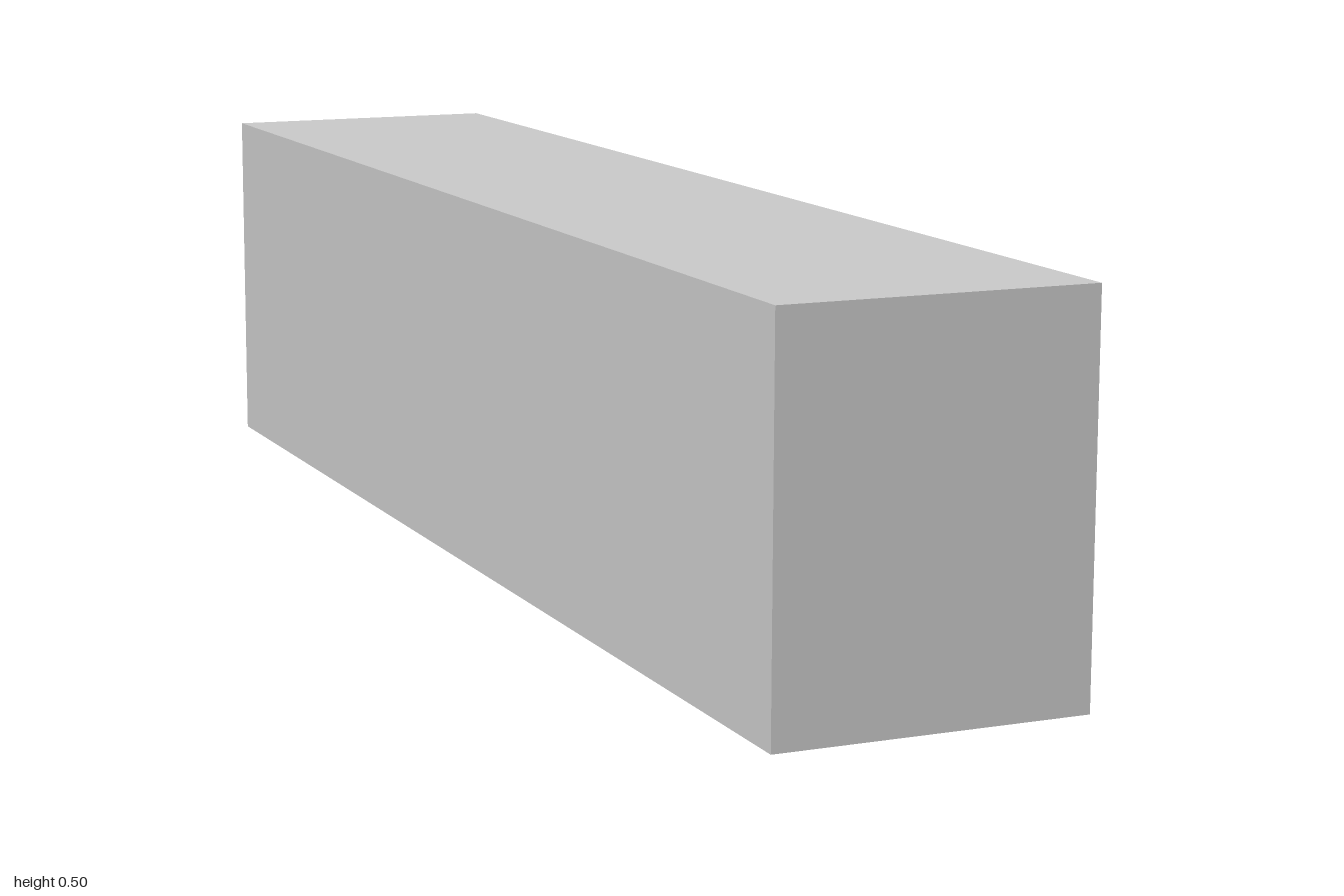
import * as THREE from 'three';

export function createModel() {
  const group = new THREE.Group();
  const mat = new THREE.MeshStandardMaterial({ color: 0xcccccc, flatShading: true });

  // Box given by its limits on each axis
  const box = (name, [x0, x1], [y0, y1], [z0, z1]) => {
    const mesh = new THREE.Mesh(new THREE.BoxGeometry(x1 - x0, y1 - y0, z1 - z0), mat);
    mesh.position.set((x0 + x1) / 2, (y0 + y1) / 2, (z0 + z1) / 2);
    mesh.name = name;
    group.add(mesh);
  };

  const back = -0.206, front = 0.203, recess = -0.078, groove = 0.02;
  const under = 0.481, panelTop = 0.47, panelBottom = 0.091, plinthTop = 0.078;
  const kneeL = -0.04, kneeR = -0.625;
  const face = [front - groove, front];
  const kneeFace = [recess - groove, recess];
  const coreX = [recess - groove, front - groove];
  const panelY = [panelBottom, panelTop];

  // Worktop and set-back carcasses, which form the bottoms of the grooves
  box('worktop', [back, front], [under, 0.505], [-1, 1]);
  box('backCarcass', [back, recess - groove], [0, under], [-1, 1]);
  box('leftCarcass', coreX, [0, under], [kneeL + groove, 1]);
  box('rightCarcass', coreX, [0, under], [-1, kneeR - groove]);

  // End stiles and plinths
  box('leftStile', face, [0, under], [0.97, 1]);
  box('rightStile', face, [0, under], [-1, -0.968]);
  box('leftPlinth', face, [0, plinthTop], [kneeL, 0.97]);
  box('rightPlinth', face, [0, plinthTop], [-0.968, kneeR]);
  box('leftKneePlinth', coreX, [0, panelBottom], [kneeL, kneeL + groove]);
  box('rightKneePlinth', coreX, [0, panelBottom], [kneeR - groove, kneeR]);

  // Two cupboard doors
  box('door', face, panelY, [0.596, 0.963]);
  box('door', face, panelY, [0.27, 0.589]);

  // Drawer stacks, open to the knee space along their sides
  const rows = [[panelBottom, 0.219], [0.23, 0.361], [0.372, panelTop]];
  for (const row of rows) {
    box('leftDrawer', [recess - groove, front], row, [kneeL, 0.262]);
    box('rightDrawer', [recess - groove, front], row, [-0.96, kneeR]);
  }

  // Panels and plinth at the back of the knee space
  box('kneePlinth', kneeFace, [0, plinthTop], [kneeR, kneeL]);
  for (const z of [[-0.123, kneeL], [-0.329, -0.131], [-0.535, -0.337], [kneeR, -0.543]])
    box('kneePanel', kneeFace, panelY, z);

  // Small lock on each top drawer
  for (const z of [0.107, -0.81]) {
    const lock = new THREE.Mesh(new THREE.CylinderGeometry(0.006, 0.006, 0.003, 12), mat);
    lock.rotation.z = -Math.PI / 2;
    lock.position.set(front + 0.0015, 0.427, z);
    lock.name = 'drawerLock';
    group.add(lock);
  }
  return group;
}
